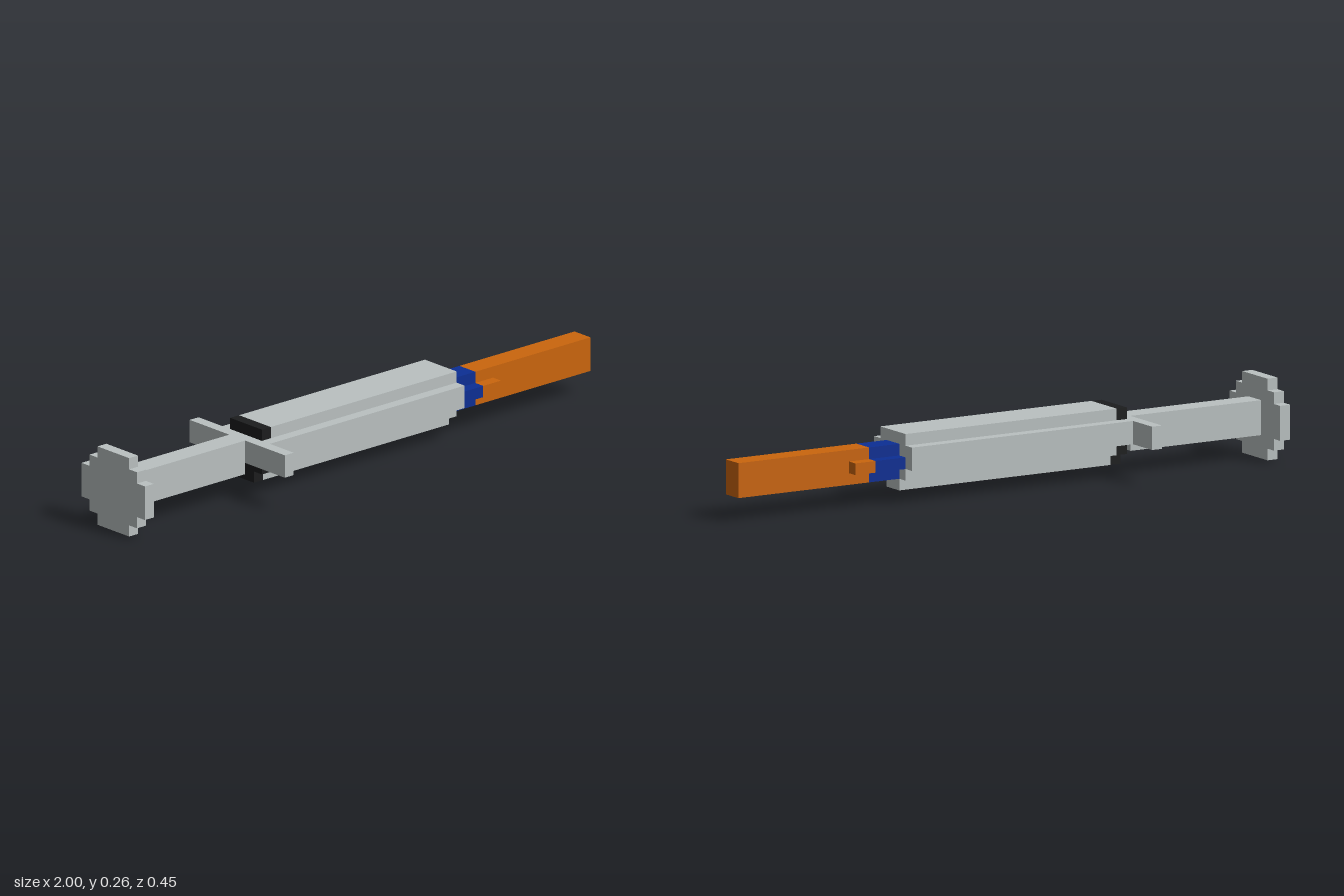
import * as THREE from 'three';

const U = 2 / 53; // one block

const mat = (name, color) => {
  const m = new THREE.MeshStandardMaterial({ color });
  m.name = name;
  return m;
};

// Extrudes a stepped, mirrored cross-section along x.
// rows: half-widths in blocks, listed upward from block row y0; x0..x1 in blocks.
function steppedBar(name, material, x0, x1, y0, rows) {
  const right = [];
  rows.forEach((w, i) => {
    if (rows[i - 1] !== w) right.push([w, y0 + i]);
    if (rows[i + 1] !== w) right.push([w, y0 + i + 1]);
  });
  const left = right.map(([w, y]) => [-w, y]).reverse();
  const shape = new THREE.Shape([...right, ...left].map(([w, y]) => new THREE.Vector2(w * U, y * U)));
  const geometry = new THREE.ExtrudeGeometry(shape, { depth: (x1 - x0) * U, bevelEnabled: false });
  geometry.rotateY(Math.PI / 2);
  geometry.translate(x0 * U - 1, 0, 0);
  const mesh = new THREE.Mesh(geometry, material);
  mesh.name = name;
  return mesh;
}

export function createModel() {
  const grey = mat('light grey', 0xbac1c1);
  const black = mat('black', 0x1c1d1e);
  const blue = mat('blue', 0x0c2f94);
  const orange = mat('orange', 0xcb660d);

  const model = new THREE.Group();
  model.name = 'syringe';
  model.add(
    // plunger
    steppedBar('thumbDisc', grey, 0, 1, 0, [2, 3, 4, 4, 4, 3, 2]),
    steppedBar('plungerRod', grey, 1, 14, 2, [1, 1, 1]),
    // finger grip and barrel
    steppedBar('fingerGrip', grey, 14, 15, 3, [6, 6]),
    steppedBar('barrelCollar', grey, 15, 16, 3, [3, 3]),
    steppedBar('sealTop', black, 15, 16, 5, [2]),
    steppedBar('sealBottom', black, 15, 16, 1, [1, 2]),
    steppedBar('barrel', grey, 16, 37, 1, [1, 2, 3, 3, 2]),
    // needle hub and cap
    steppedBar('needleHub', blue, 37, 40, 2, [1, 2, 1]),
    steppedBar('capBase', orange, 40, 42, 2, [1, 2, 1]),
    steppedBar('needleCap', orange, 42, 53, 2, [1, 1, 1]),
  );
  return model;
}
